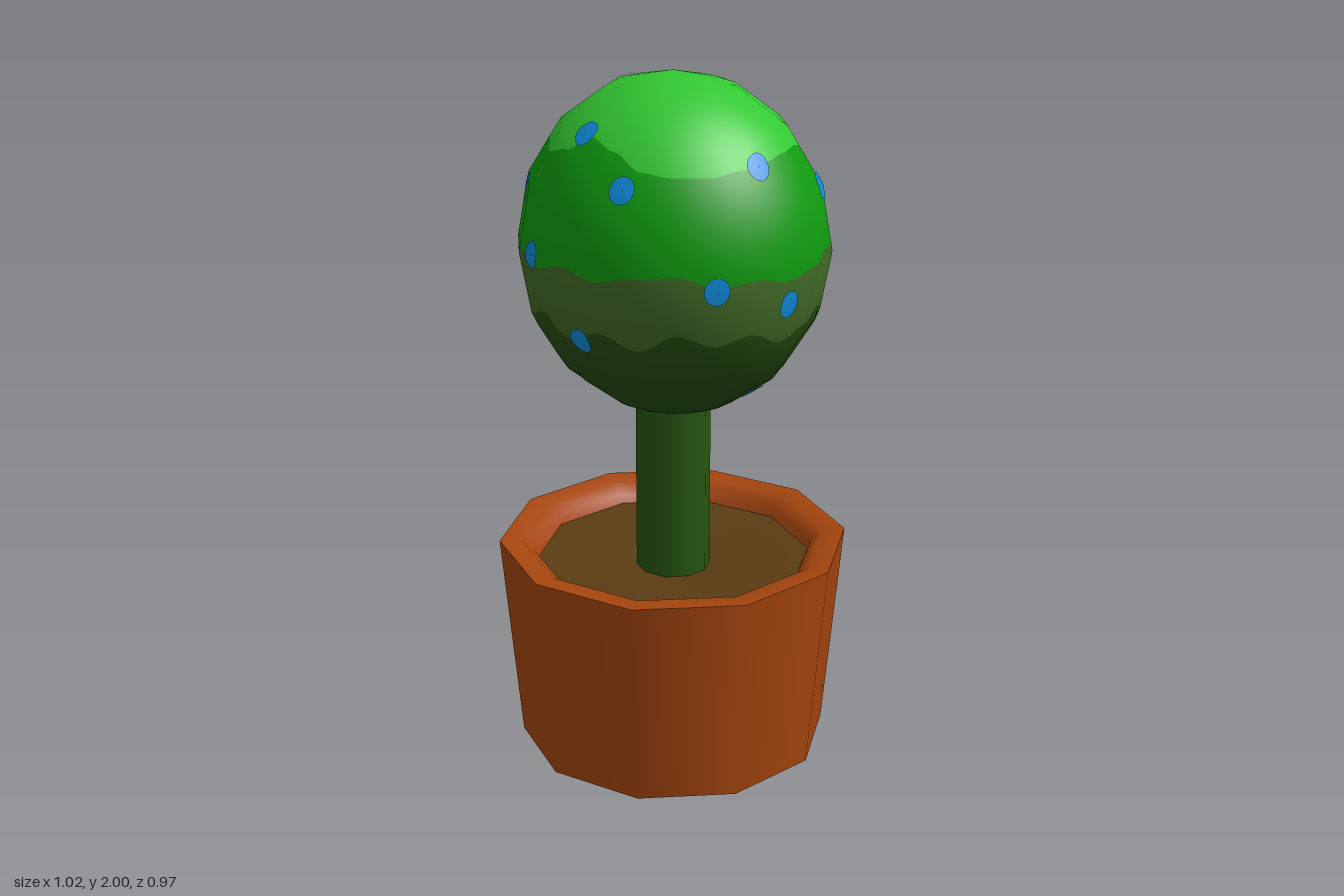
import * as THREE from 'three';
import { mergeGeometries } from 'three/addons/utils/BufferGeometryUtils.js';

const mat = (name, color, side = THREE.FrontSide) => {
  const m = new THREE.MeshStandardMaterial({ color, side });
  m.name = name;
  return m;
};

// Crown: an ellipsoid of 16 x 8 flat cells with smooth normals
const R = new THREE.Vector3(0.45, 0.487, 0.416);
const CENTRE_Y = 1.514;
const STEP = Math.PI / 8;

function corner(i, j) {
  const a = i * STEP, p = j * STEP;
  return new THREE.Vector3(Math.cos(a) * Math.sin(p), Math.cos(p), Math.sin(a) * Math.sin(p)).multiply(R);
}

// Point and normal on the faceted crown for an azimuth and a polar angle
function crownPoint(azimuth, polar) {
  const u = azimuth / STEP, v = Math.min(polar / STEP, 7.99999);
  const i = Math.floor(u), j = Math.floor(v);
  const top = corner(i, j).lerp(corner(i + 1, j), u - i);
  const low = corner(i, j + 1).lerp(corner(i + 1, j + 1), u - i);
  const point = top.lerp(low, v - j);
  const normal = point.clone().divide(R).divide(R).normalize();
  point.y += CENTRE_Y;
  return { point, normal };
}

// Wavy band edge: heights every 15 degrees, starting at +x and turning towards +z
function wavyEdge(heights) {
  const n = heights.length;
  return (azimuth) => {
    const t = (azimuth / (2 * Math.PI)) * n;
    const i = Math.floor(t), f = t - i, s = f * f * (3 - 2 * f);
    const y = heights[i % n] * (1 - s) + heights[(i + 1) % n] * s;
    return Math.acos((y - CENTRE_Y) / R.y);
  };
}

function bandGeometry(upper, lower) {
  const cols = 192, rows = 14, pos = [], nor = [], idx = [];
  for (let c = 0; c <= cols; c++) {
    const a = (c / cols) * 2 * Math.PI;
    for (let r = 0; r <= rows; r++) {
      const polar = THREE.MathUtils.lerp(upper(a), lower(a), r / rows);
      const { point, normal } = crownPoint(a, polar);
      pos.push(...point.toArray());
      nor.push(...normal.toArray());
      if (c < cols && r < rows) {
        const k = c * (rows + 1) + r, m = k + rows + 1;
        idx.push(k, m, m + 1, k, m + 1, k + 1);
      }
    }
  }
  const g = new THREE.BufferGeometry();
  g.setAttribute('position', new THREE.Float32BufferAttribute(pos, 3));
  g.setAttribute('normal', new THREE.Float32BufferAttribute(nor, 3));
  g.setIndex(idx);
  return g;
}

// Thin round spot laid over the crown
function spotGeometry(x, y, z) {
  const dir = new THREE.Vector3(x, y - CENTRE_Y, z).divide(R).normalize();
  const centre = dir.clone().multiply(R);
  const facing = dir.clone().divide(R).normalize();
  const g = new THREE.RingGeometry(0.0005, 0.038, 14, 3);
  g.scale(0.95, 1.05, 1);
  g.applyQuaternion(new THREE.Quaternion().setFromUnitVectors(new THREE.Vector3(0, 0, 1), facing));
  const p = g.attributes.position, v = new THREE.Vector3();
  for (let i = 0; i < p.count; i++) {
    v.fromBufferAttribute(p, i).add(centre).divide(R).normalize();
    const azimuth = (Math.atan2(v.z, v.x) + 2 * Math.PI) % (2 * Math.PI);
    const { point, normal } = crownPoint(azimuth, Math.acos(v.y));
    point.addScaledVector(normal, 0.004);
    p.setXYZ(i, point.x, point.y, point.z);
    g.attributes.normal.setXYZ(i, normal.x, normal.y, normal.z);
  }
  return g;
}

export function createModel() {
  const model = new THREE.Group();
  model.name = 'pottedTree';
  const add = (name, geometry, material) => {
    const mesh = new THREE.Mesh(geometry, material);
    mesh.name = name;
    model.add(mesh);
    return mesh;
  };
  // Ten-sided turned part with a corner on +x
  const turned = (name, profile, material) => {
    const g = new THREE.LatheGeometry(profile.map(([r, y]) => new THREE.Vector2(r, y)), 10);
    g.rotateY(Math.PI / 2);
    return add(name, g, material);
  };

  const terracotta = mat('terracotta', 0xa6460f);
  const soil = mat('soil', 0x5a3c12, THREE.DoubleSide);
  const bark = mat('trunk green', 0x265510);
  const lightLeaf = mat('light green', 0x32c832);
  const midLeaf = mat('mid green', 0x0f9b0f);
  const oliveLeaf = mat('olive green', 0x426b28);
  const darkLeaf = mat('dark green', 0x264e10);
  const blue = mat('blue', 0x0f8cdc);

  // Pot, soil and trunk
  turned('potBase', [[0, 0], [0.455, 0]], terracotta);
  turned('potWall', [[0.455, 0], [0.51, 0.625]], terracotta);
  turned('potRim', [[0.51, 0.625], [0.445, 0.622], [0.41, 0.59], [0.39, 0.54]], terracotta);
  turned('soil', [[0.4, 0.565], [0.22, 0.56], [0.1, 0.535], [0, 0.53]], soil);
  turned('trunk', [[0.108, 0.5], [0.108, 1.09]], bark);

  // Leaf bands from top to bottom
  const edges = [
    () => 0,
    wavyEdge([1.82, 1.81, 1.8, 1.79, 1.79, 1.8, 1.84, 1.86, 1.82, 1.8, 1.81, 1.82,
      1.81, 1.8, 1.79, 1.78, 1.76, 1.78, 1.8, 1.8, 1.79, 1.8, 1.8, 1.82]),
    wavyEdge([1.52, 1.5, 1.52, 1.51, 1.54, 1.53, 1.51, 1.53, 1.5, 1.53, 1.55, 1.53,
      1.52, 1.54, 1.51, 1.52, 1.54, 1.52, 1.51, 1.54, 1.55, 1.55, 1.52, 1.54]),
    wavyEdge([1.35, 1.32, 1.36, 1.34, 1.37, 1.32, 1.36, 1.32, 1.37, 1.34, 1.37, 1.35,
      1.32, 1.37, 1.34, 1.37, 1.33, 1.36, 1.34, 1.37, 1.33, 1.37, 1.32, 1.37]),
    () => Math.PI,
  ];
  [['crownTop', lightLeaf], ['crownUpper', midLeaf], ['crownLower', oliveLeaf], ['crownBottom', darkLeaf]]
    .forEach(([name, material], i) => add(name, bandGeometry(edges[i], edges[i + 1]), material));

  // Berries painted on the crown
  const spots = [
    [-0.11, 1.865, 0.265], [0.055, 1.75, 0.355], [-0.34, 1.68, 0.23], [-0.25, 1.53, 0.345],
    [0.315, 1.5, 0.3], [-0.07, 1.32, 0.38], [0.335, 1.8, 0.12], [0.385, 1.7, -0.14],
    [0.43, 1.43, 0.1], [0.27, 1.41, -0.33], [0.28, 1.12, 0.02], [0.12, 1.94, -0.165],
    [-0.18, 1.95, -0.035], [-0.105, 1.84, -0.295], [-0.32, 1.8, -0.16], [-0.03, 1.66, -0.395],
    [-0.224, 1.325, -0.322], [-0.415, 1.33, -0.01],
  ];
  add('berries', mergeGeometries(spots.map((s) => spotGeometry(...s))), blue);
  return model;
}
